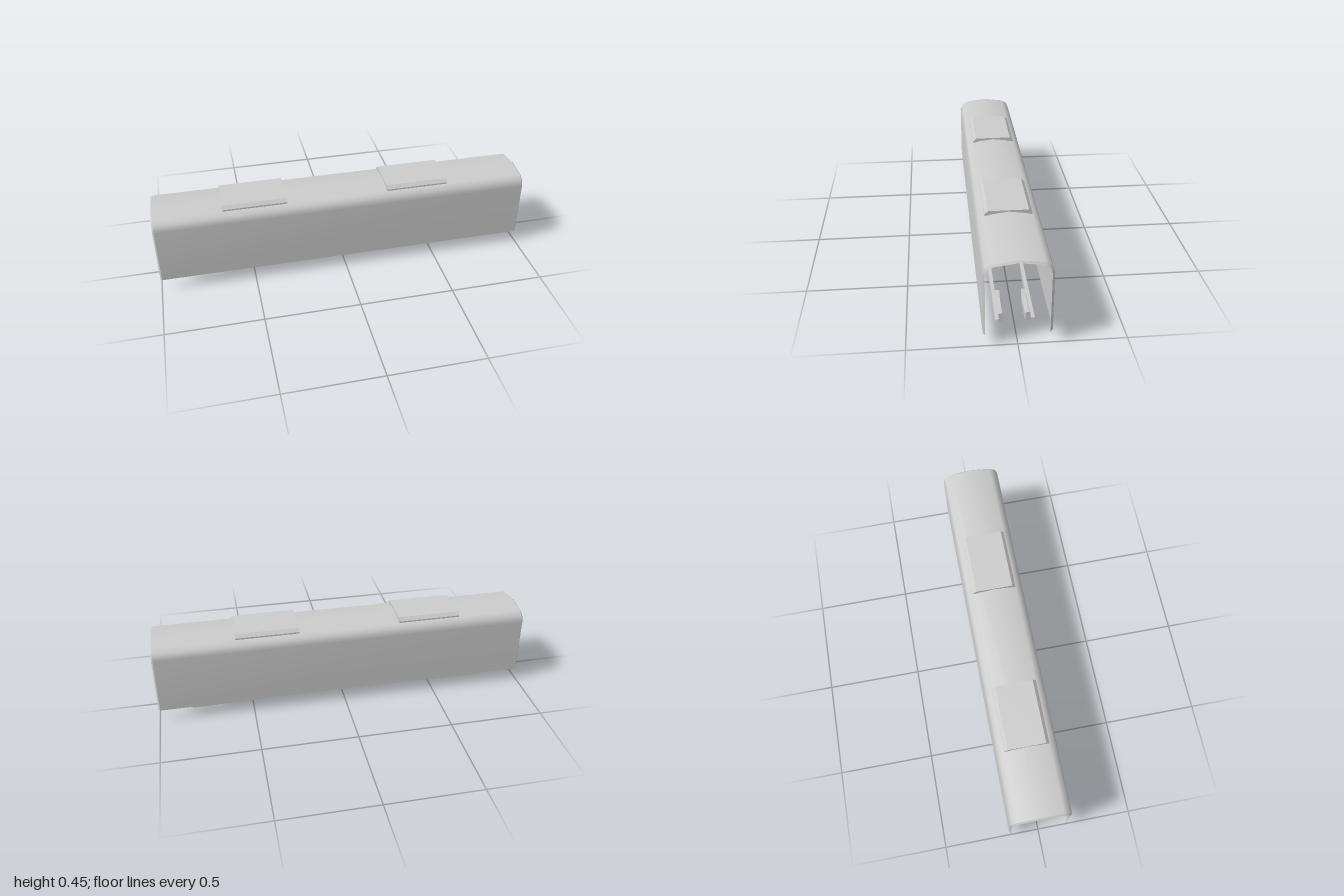
import * as THREE from 'three';

const grey = new THREE.MeshStandardMaterial({ color: 0xcccccc });
const greyThin = new THREE.MeshStandardMaterial({ color: 0xcccccc, side: THREE.DoubleSide });

// Half profiles as [z, y], from the wall foot up to the roof ridge
const OUTER = [[0.157, 0.065], [0.157, 0.37], [0.144, 0.404], [0.115, 0.422], [0, 0.437]];
const INNER = [[0.146, 0.059], [0.146, 0.368], [0.136, 0.396], [0.112, 0.413], [0, 0.428]];

const mirrored = (half) => [...half, ...half.slice(0, -1).reverse().map(([z, y]) => [-z, y])];

// Sheet stretched between two matching profiles at two x positions
function sheet(name, halfA, xA, halfB, xB) {
  const a = mirrored(halfA), b = mirrored(halfB);
  const pos = [], index = [];
  a.forEach(([z, y], i) => {
    pos.push(xA, y, z, xB, b[i][1], b[i][0]);
    if (i < a.length - 1) {
      const k = i * 2;
      index.push(k, k + 1, k + 3, k, k + 3, k + 2);
    }
  });
  const g = new THREE.BufferGeometry();
  g.setAttribute('position', new THREE.Float32BufferAttribute(pos, 3));
  g.setIndex(index);
  g.computeVertexNormals();
  const m = new THREE.Mesh(g, greyThin);
  m.name = name;
  return m;
}

// Flat-sided block: outline extruded along z and centred on it
function block(name, points, depth) {
  const shape = new THREE.Shape(points.map(([x, y]) => new THREE.Vector2(x, y)));
  const g = new THREE.ExtrudeGeometry(shape, { depth, bevelEnabled: false });
  g.translate(0, 0, -depth / 2);
  const m = new THREE.Mesh(g, grey);
  m.name = name;
  return m;
}

export function createModel() {
  const model = new THREE.Group();
  model.name = 'railCarShell';

  // Open-bottomed body with a narrow lip turned in at each end
  const body = new THREE.Group();
  body.name = 'body';
  body.add(
    sheet('bodyShell', OUTER, -0.992, OUTER, 0.992),
    sheet('rightEndLip', INNER, -1, OUTER, -0.992),
    sheet('leftEndLip', OUTER, 0.992, INNER, 1)
  );
  model.add(body);

  // Roof units: chamfered caps whose side legs reach through the roof
  const padHalf = [[0.09, 0.4], [0.115, 0.4], [0.115, 0.43], [0.098, 0.447]];
  const padOutline = [
    ...padHalf, ...padHalf.slice().reverse().map(([z, y]) => [-z, y]),
    [-0.09, 0.428], [0, 0.44], [0.09, 0.428]
  ];
  for (const x of [-0.472, 0.402]) {
    const pad = block('roofUnit', padOutline, 0.335);
    pad.rotation.y = Math.PI / 2;
    pad.position.x = x;
    model.add(pad);
  }

  // Underframe: a long tapered side bar with a dished hanger inside it
  const barOutline = [[-0.163, 0.014], [0.163, 0.014], [0.228, 0.055], [-0.228, 0.055]];
  const hangerOutline = [
    [-0.095, 0.063], [-0.095, 0.018], [-0.065, 0], [0.065, 0], [0.095, 0.018],
    [0.095, 0.063], [0.06, 0.035], [-0.06, 0.035]
  ];
  for (const [barX, hangerX] of [[-0.628, -0.76], [0.657, 0.76]]) {
    const truck = new THREE.Group();
    truck.name = 'underframe';
    for (const side of [1, -1]) {
      const bar = block('sideBar', barOutline, 0.017);
      bar.position.set(barX, 0, side * 0.083);
      const hanger = block('hanger', hangerOutline, 0.022);
      hanger.position.set(hangerX, 0, side * 0.064);
      truck.add(bar, hanger);
    }
    model.add(truck);
  }
  return model;
}
